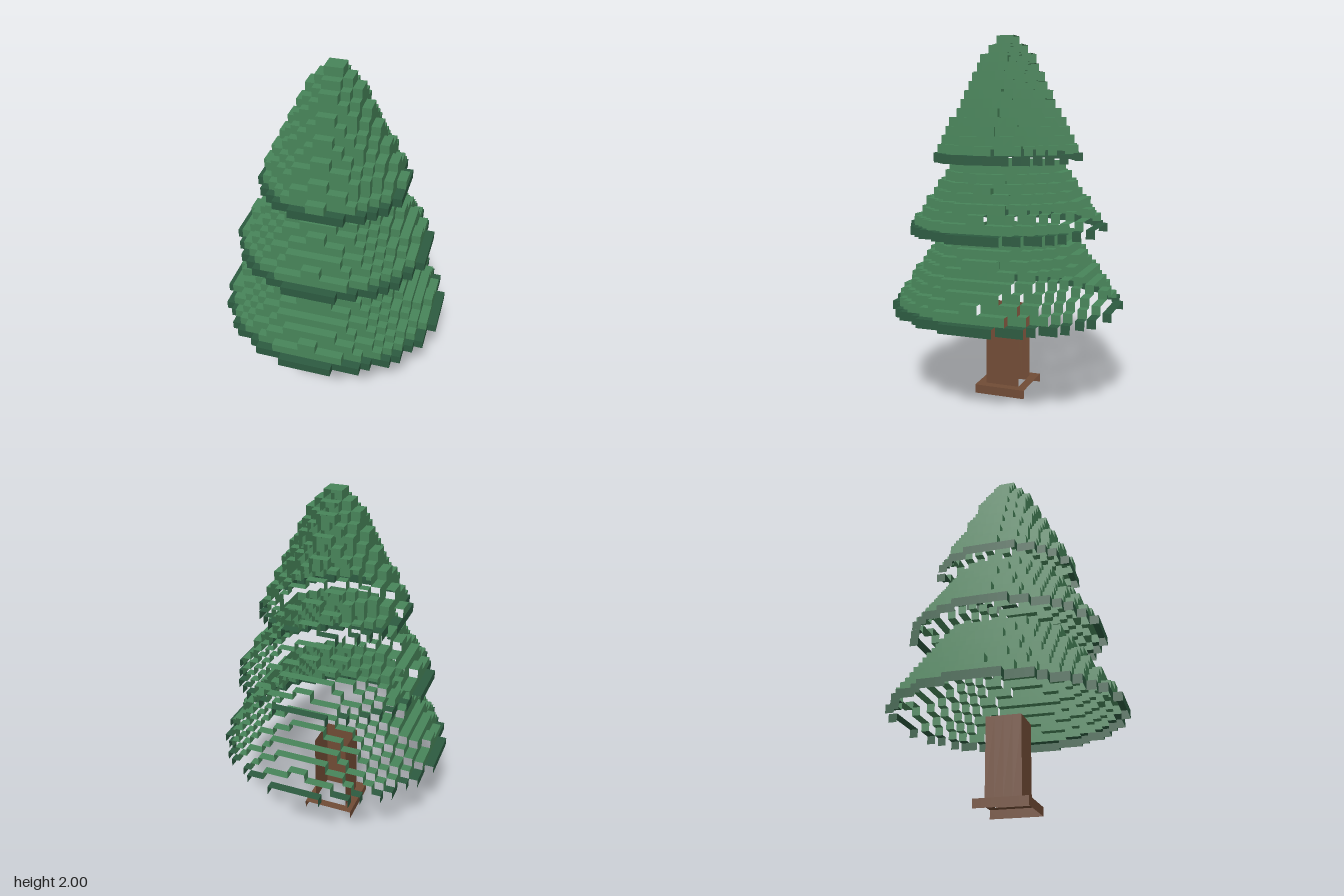
import * as THREE from 'three';

const V = 2 / 41; // size of one block; the tree is 41 blocks tall

const material = (name, color) => {
  const m = new THREE.MeshStandardMaterial({ color, side: THREE.DoubleSide });
  m.name = name;
  return m;
};

// Outlines: half-width in blocks of the row of blocks between z = row and z = row + 1
const square = (h) => (row) => (row >= -h && row < h ? h : 0);
const disc = (radius) => (row) => {
  const d = radius * radius - (row + 0.5) ** 2;
  return d > 0 ? Math.floor(Math.sqrt(d) + 0.5) : 0;
};

// Parts of a row of half-width w that are not covered by a row of half-width u
const exposed = (w, u) => (w <= u ? [] : u === 0 ? [[-w, w]] : [[-w, -u], [u, w]]);

// Open shell of stacked block layers: left, right, front and top faces only
function shell(layers) {
  const pos = [];
  const quad = (a, b, c, d) => {
    for (const p of [a, b, c, a, c, d]) pos.push(p[0] * V, p[1] * V, p[2] * V);
  };
  for (const { y0, y1, outline, above } of layers) {
    for (let z = -13; z < 13; z++) {
      const w = outline(z), n = z + 1;
      if (w === 0) continue;
      quad([w, y0, n], [w, y0, z], [w, y1, z], [w, y1, n]);
      quad([-w, y0, z], [-w, y0, n], [-w, y1, n], [-w, y1, z]);
      for (const [a, b] of exposed(w, outline(n))) {
        quad([a, y0, n], [b, y0, n], [b, y1, n], [a, y1, n]);
      }
      for (const [a, b] of exposed(w, above(z))) {
        quad([a, y1, n], [b, y1, n], [b, y1, z], [a, y1, z]);
      }
    }
  }
  const g = new THREE.BufferGeometry();
  g.setAttribute('position', new THREE.Float32BufferAttribute(pos, 3));
  g.computeVertexNormals();
  return g;
}

export function createModel() {
  const tree = new THREE.Group();
  tree.name = 'pineTree';
  const bark = material('bark brown', 0x704b35);
  const leaf = material('needle green', 0x478459);
  const shade = material('dark rim green', 0x2c5a40);

  const add = (name, layers, mat, parent = tree) => {
    const mesh = new THREE.Mesh(shell(layers), mat);
    mesh.name = name;
    parent.add(mesh);
  };

  // Foliage tiers: first layer, layer past the last, bottom radius, shrink per layer
  const tiers = [
    { name: 'lowerTier', from: 10, to: 19, radius: 12.9, shrink: 0.68 },
    { name: 'middleTier', from: 19, to: 27, radius: 10.9, shrink: 0.67 },
    { name: 'upperTier', from: 27, to: 41, radius: 8.07, shrink: 0.5 },
  ];
  const outlines = [];
  for (const t of tiers) {
    for (let y = t.from; y < t.to; y++) outlines[y] = disc(t.radius - t.shrink * (y - t.from));
  }
  const layer = (y) => ({
    y0: y, y1: y + 1, outline: outlines[y], above: outlines[y + 1] ?? (() => 0),
  });

  // Trunk and its foot
  add('trunkFoot', [{ y0: 0, y1: 1, outline: square(3), above: square(2) }], bark);
  add('trunk', [{ y0: 1, y1: 10, outline: square(2), above: outlines[10] }], bark);

  // Each tier has a dark bottom rim and lighter stepped needles above it
  for (const t of tiers) {
    const group = new THREE.Group();
    group.name = t.name;
    tree.add(group);
    const needles = [];
    for (let y = t.from + 1; y < t.to; y++) needles.push(layer(y));
    add(t.name + 'Rim', [layer(t.from)], shade, group);
    add(t.name + 'Needles', needles, leaf, group);
  }
  return tree;
}
